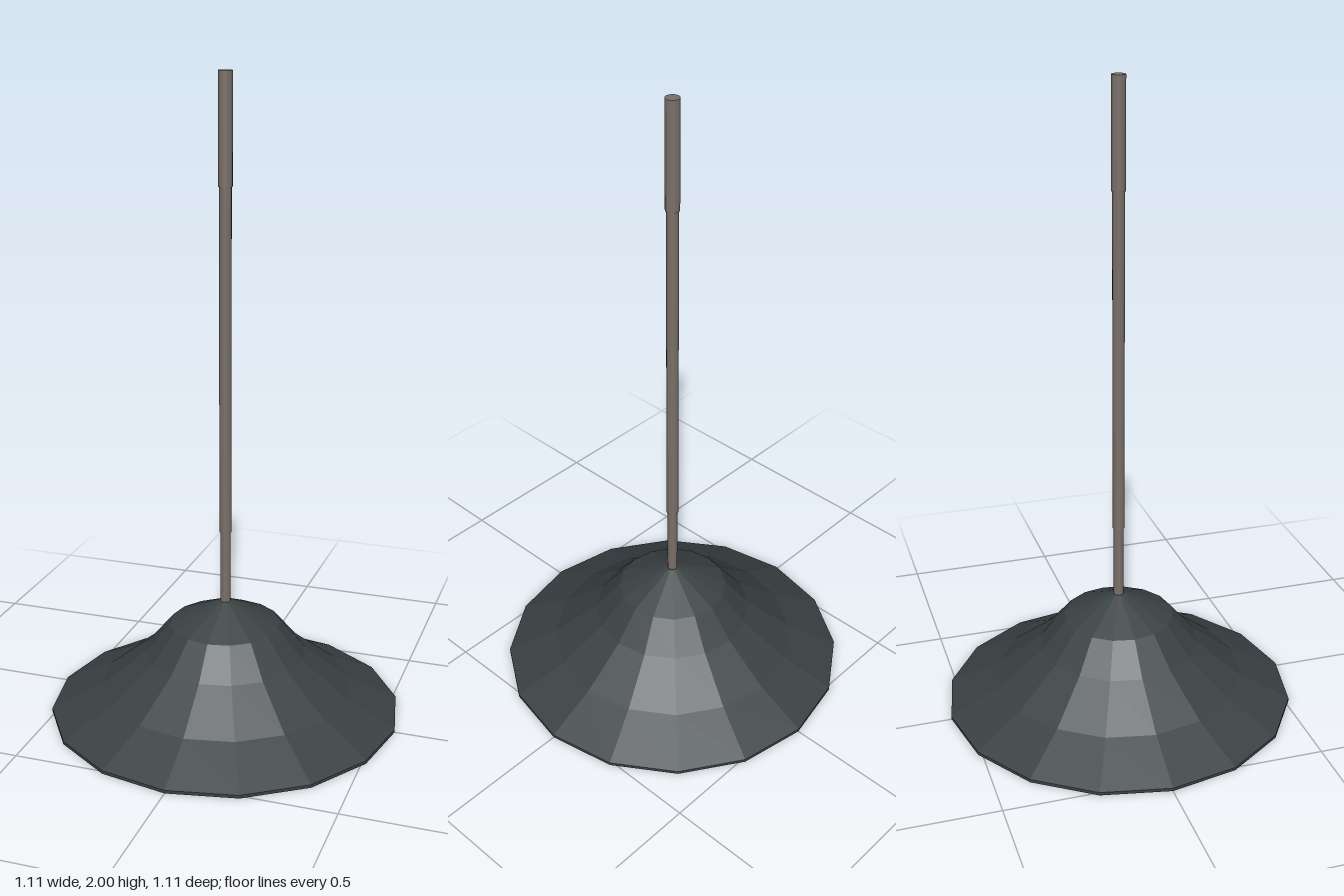
import * as THREE from 'three';

const mat = (color, extra = {}) => new THREE.MeshStandardMaterial({ color, flatShading: true, ...extra });

export function createModel() {
  const lamp = new THREE.Group();
  lamp.name = 'pendantLamp';
  const shadeMat = mat(0x3a4244);
  const rodMat = mat(0x7a7068);
  const bulbMat = mat(0xe8e8e8);

  function add(name, geometry, material, y = 0) {
    const mesh = new THREE.Mesh(geometry, material);
    mesh.name = name;
    mesh.position.y = y;
    lamp.add(mesh);
  }
  const lathe = (points, sides) =>
    new THREE.LatheGeometry(points.map(([r, y]) => new THREE.Vector2(r, y)), sides);

  // Open bell shade: inner wall down to the rim, then outer wall up to the rod
  const outer = [[0.555, 0.01], [0.395, 0.09], [0.255, 0.2], [0.175, 0.295], [0.02, 0.368], [0, 0.368]];
  const inner = [[0, 0.356], [0.02, 0.356], [0.17, 0.284], [0.249, 0.19], [0.39, 0.08], [0.552, 0]];
  add('shade', lathe([...inner, [0.555, 0], ...outer], 16), shadeMat);

  // Hanging rod in three steps: [name, radius, bottom, top]
  for (const [name, r, y0, y1] of [
    ['lowerRod', 0.016, 0.35, 0.6],
    ['mainRod', 0.019, 0.6, 1.67],
    ['topSleeve', 0.022, 1.67, 2],
  ]) add(name, new THREE.CylinderGeometry(r, r, y1 - y0, 12), rodMat, (y0 + y1) / 2);

  // Bulb with a pointed tip, under the crown of the shade
  add('bulb', lathe([[0, 0.2], [0.008, 0.203], [0.032, 0.24], [0.034, 0.25], [0.034, 0.29], [0.022, 0.31], [0.022, 0.356]], 12), bulbMat);

  return lamp;
}
